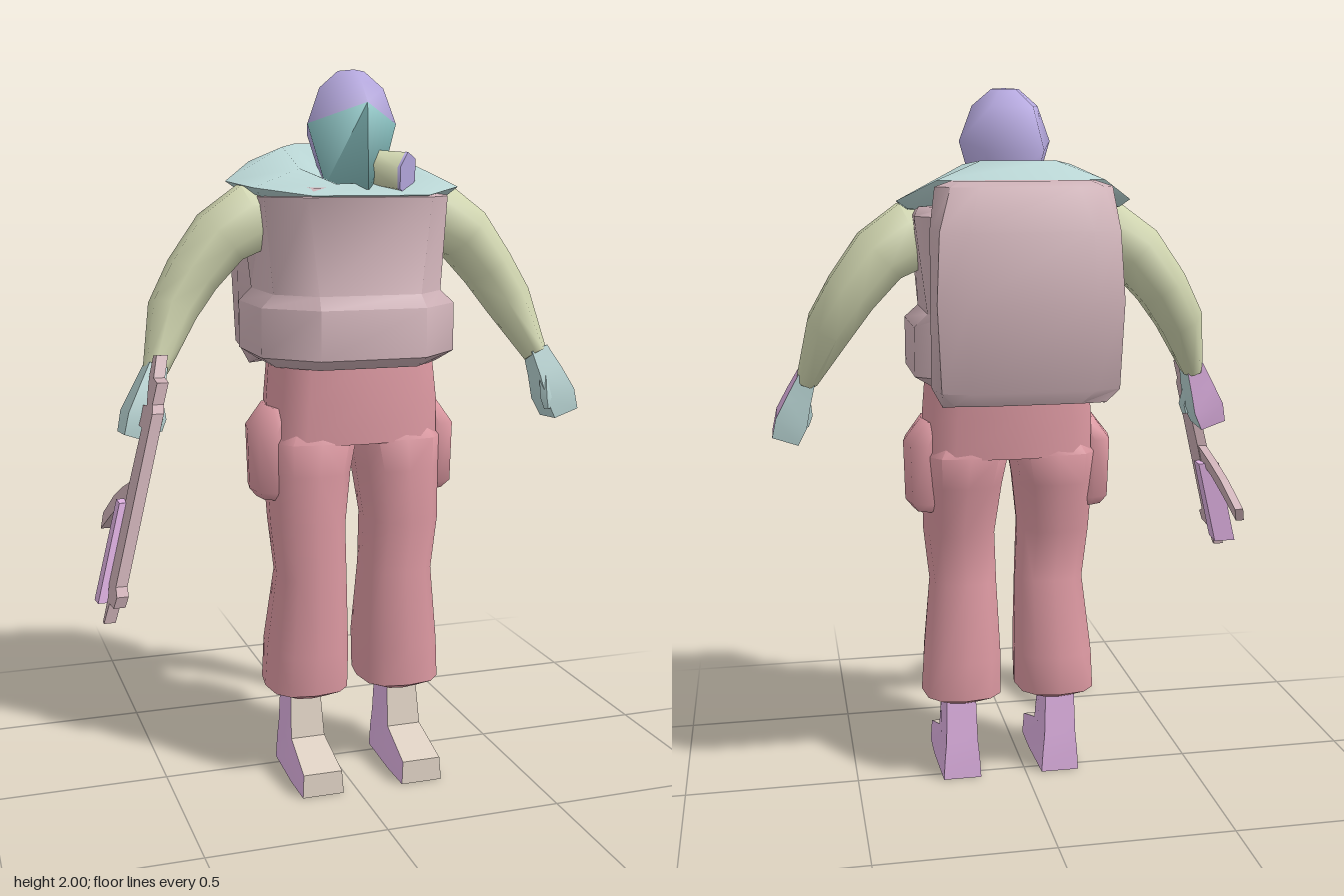
import * as THREE from 'three';
import { toCreasedNormals } from 'three/addons/utils/BufferGeometryUtils.js';

const MID = 0.045; // x of the body's plane of symmetry
const V = (x, y, z) => new THREE.Vector3(x, y, z);
const flip = p => V(2 * MID - p.x, p.y, p.z);

// Closed skin through a list of cross-sections, wound so that it faces outward
function loft(rings, crease = 0.75) {
  const n = rings[0].length, tris = [];
  for (let i = 0; i < rings.length - 1; i++) for (let j = 0; j < n; j++) {
    const k = (j + 1) % n, [a, b, c, d] = [rings[i][j], rings[i][k], rings[i + 1][k], rings[i + 1][j]];
    tris.push([a, b, c], [a, c, d]);
  }
  for (const [ring, top] of [[rings[0], false], [rings[rings.length - 1], true]]) {
    const c = ring.reduce((s, p) => s.add(p), V(0, 0, 0)).divideScalar(n);
    for (let j = 0; j < n; j++) {
      const k = (j + 1) % n;
      tris.push(top ? [c, ring[j], ring[k]] : [c, ring[k], ring[j]]);
    }
  }
  const volume = tris.reduce((s, [a, b, c]) => s + a.dot(b.clone().cross(c)), 0);
  const pts = tris.flatMap(t => (volume < 0 ? [t[0], t[2], t[1]] : t));
  const geo = new THREE.BufferGeometry().setFromPoints(pts);
  geo.computeVertexNormals();
  return toCreasedNormals(geo, crease);
}

// Mirrored ring from half of its points: [half width, z, own y]
function sym(y, half, cx = MID) {
  const right = half.map(([x, z, h]) => V(cx + x, h ?? y, z));
  const left = half.filter(p => p[0] > 0).reverse().map(([x, z, h]) => V(cx - x, h ?? y, z));
  return [...right, ...left];
}

// Rounded box-like ring between x0..x1 and z0..z1
function oval(y, x0, x1, z0, z1, power = 0.7, n = 12) {
  const soft = v => Math.sign(v) * Math.abs(v) ** power;
  return Array.from({ length: n }, (_, i) => {
    const a = (i / n) * Math.PI * 2;
    return V((x0 + x1) / 2 + (soft(Math.sin(a)) * (x1 - x0)) / 2, y, (z0 + z1) / 2 + (soft(Math.cos(a)) * (z1 - z0)) / 2);
  });
}

// Rings across a bent limb: [x, y, z, radius in plane, radius towards z]
function limb(stations, n, turn = 0) {
  const c = stations.map(s => V(s[0], s[1], s[2]));
  return stations.map((s, i) => {
    const t = c[Math.min(i + 1, c.length - 1)].clone().sub(c[Math.max(i - 1, 0)]).normalize();
    const u = t.clone().cross(V(0, 0, 1)).normalize(), v = u.clone().cross(t);
    return Array.from({ length: n }, (_, k) => {
      const a = (k / n) * Math.PI * 2 + turn;
      return c[i].clone().addScaledVector(u, Math.cos(a) * s[3]).addScaledVector(v, Math.sin(a) * s[4]);
    });
  });
}

// Give the second material to the faces whose normal passes a test
function split(geo, test) {
  const p = geo.attributes.position, tri = new THREE.Triangle(), n = V(0, 0, 0), m = V(0, 0, 0);
  for (let i = 0; i < p.count; i += 3) {
    tri.setFromAttributeAndIndices(p, i, i + 1, i + 2);
    tri.getNormal(n);
    tri.getMidpoint(m);
    geo.addGroup(i, 3, test(n, m) ? 1 : 0);
  }
  return geo;
}

export function createModel() {
  const root = new THREE.Group();
  const mat = (name, color) => Object.assign(new THREE.MeshStandardMaterial({ color }), { name });
  const vestMat = mat('dusty rose', 0xceb1b7), pantsMat = mat('red pink', 0xde9aa3);
  const sleeveMat = mat('pale olive', 0xd1d6b0), hoodMat = mat('lavender', 0xb7aae0);
  const paleMat = mat('pale teal', 0xb9d5d4), visorMat = mat('teal', 0x8fcaca);
  const orchidMat = mat('orchid', 0xe0b2e3), beigeMat = mat('beige', 0xddd0c2);
  const add = (name, geo, material, parent = root) => {
    const mesh = new THREE.Mesh(geo, material);
    mesh.name = name;
    parent.add(mesh);
    return mesh;
  };

  // Vest with a bulging waist band
  const band = [[.15, .245], [.28, .12], [.28, -.13], [.2, -.2]];
  add('vest', loft([
    sym(1.2, [[.14, .2], [.235, .1], [.235, -.1], [.15, -.18]]),
    sym(1.23, band), sym(1.365, band),
    sym(1.4, [[.145, .215], [.243, .11], [.243, -.13], [.2, -.2]]),
    sym(1.66, [[.175, .212], [.265, .1], [.275, -.13], [.22, -.21]]),
    sym(1.685, [[.14, .17], [.24, .08], [.26, -.11], [.19, -.19]]),
  ], 0.9), vestMat);

  // Collar that rises towards the back
  add('collar', loft([
    sym(0, [[.15, .19, 1.655], [.265, .09, 1.66], [.29, -.11, 1.68], [.21, -.2, 1.73]]),
    sym(0, [[.165, .216, 1.665], [.295, .1, 1.685], [.32, -.11, 1.7], [.225, -.21, 1.755]]),
    sym(0, [[.08, .15, 1.695], [.15, .05, 1.735], [.145, -.14, 1.795], [.1, -.165, 1.805]]),
    sym(0, [[.05, .1, 1.69], [.09, .03, 1.705], [.08, -.08, 1.74], [.05, -.1, 1.75]]),
  ], 1.1), paleMat);

  // Backpack
  add('backpack', loft([
    sym(1.18, [[.2, -.13, 1.2], [.22, -.25, 1.165], [.2, -.35, 1.185], [.13, -.36, 1.185]]),
    sym(1.22, [[.232, -.14], [.25, -.25], [.235, -.355], [.165, -.378]]),
    sym(1.45, [[.235, -.16], [.25, -.26], [.245, -.36], [.165, -.384]]),
    sym(1.63, [[.23, -.185], [.25, -.26], [.235, -.345], [.16, -.365]]),
    sym(1.74, [[.215, -.2], [.235, -.25], [.2, -.3], [.13, -.315]]),
    sym(1.755, [[.18, -.2], [.19, -.24], [.17, -.28], [.11, -.295]]),
  ], 0.95), vestMat);

  // Hooded head with a five-sided outline; the two front faces are the visor
  add('head', split(loft([
    sym(0, [[0, .19, 1.68], [.08, .06, 1.69], [.05, -.07, 1.7]]),
    sym(0, [[0, .178, 1.908], [.128, .05, 1.855], [.08, -.113, 1.83]]),
    sym(0, [[0, .125, 1.965], [.092, .045, 1.95], [.058, -.07, 1.945]]),
    sym(0, [[0, .065, 1.998], [.038, .04, 1.995], [.022, -.005, 1.993]]),
  ], 1.75), (n, m) => m.z > .06 && m.y < 1.89 && n.z > .3), [hoodMat, visorMat]);

  // Breathing filter on the left cheek
  const filter = new THREE.Group();
  filter.name = 'filter';
  filter.position.set(.12, 1.727, .14);
  filter.quaternion.setFromUnitVectors(V(0, 1, 0), V(.72, -.1, .68).normalize());
  root.add(filter);
  add('canister', new THREE.CylinderGeometry(.058, .055, .1, 6), sleeveMat, filter);
  add('filterCap', new THREE.CylinderGeometry(.059, .059, .008, 6), hoodMat, filter).position.y = .052;
  filter.children.forEach(m => { m.geometry = toCreasedNormals(m.geometry, 1.2); });

  // Hips
  add('hips', loft([
    oval(.985, -.2, .29, -.115, .178, .55),
    oval(1.1, -.2, .29, -.128, .186, .6),
    oval(1.22, -.19, .28, -.13, .18, .65),
  ], 0.9), pantsMat);

  for (const side of ['right', 'left']) {
    const place = rings => (side === 'left' ? rings : rings.map(r => r.map(flip)));
    const sx = side === 'left' ? 1 : -1;

    // Trouser leg with a drooping hem
    add(side + 'TrouserLeg', loft(place([
      oval(.237, .12, .25, -.04, .12), oval(.262, .067, .302, -.088, .168),
      oval(.38, .067, .294, -.1, .18), oval(.6, .074, .272, -.045, .168),
      oval(.75, .08, .288, -.06, .18), oval(.9, .062, .292, -.1, .18),
      oval(.99, .047, .292, -.114, .178, .6), oval(1.06, .06, .25, -.08, .14),
    ]), 0.85), pantsMat);

    // Thigh pocket
    add(side + 'Pocket', loft(place([
      oval(.825, .235, .32, -.045, .1, .75, 8), oval(.85, .225, .341, -.06, .125, .75, 8),
      oval(1.02, .225, .345, -.07, .13, .75, 8), oval(1.085, .215, .295, -.06, .12, .75, 8),
    ]), 1.35), pantsMat);

    // Boot, pale on the front
    const cx = MID + sx * .148;
    add(side + 'Boot', split(loft([
      sym(0, [[.06, .255], [.062, .14], [.056, -.042]], cx),
      sym(.065, [[.056, .25], [.057, .12], [.052, -.042]], cx),
      sym(.115, [[.05, .105], [.053, .04], [.047, -.04]], cx),
      sym(.28, [[.043, .075], [.049, .025], [.042, -.03]], cx),
    ], 0.9), n => n.z > .25 || n.y > .5), [orchidMat, beigeMat]);

    // Sleeve
    add(side + 'Arm', loft(place(limb([
      [.24, 1.62, -.01, .06, .055], [.315, 1.605, -.012, .1, .08], [.405, 1.55, -.015, .088, .09],
      [.485, 1.45, -.014, .077, .088], [.545, 1.355, .004, .069, .076], [.608, 1.2, .07, .033, .048],
    ], 8, Math.PI / 8)), 1.0), sleeveMat);

    // Boxy hand and thumb
    const coloured = side === 'left' ? n => n.x > .6 : n => n.z < -.6;
    add(side + 'Hand', split(loft(place(limb([
      [.607, 1.215, .07, .036, .05], [.632, 1.15, .085, .05, .066],
      [.655, 1.085, .095, .064, .08], [.674, 1.03, .1, .054, .072],
    ], 4, Math.PI / 4)), 0.6), coloured), [paleMat, orchidMat]);
    add(side + 'Thumb', loft(place(limb([
      [.618, 1.14, .115, .018, .02], [.612, 1.08, .14, .018, .018], [.618, 1.05, .14, .012, .012],
    ], 5)), 0.6), paleMat);
  }

  // Rifle hanging from the right hand: flat plates drawn in z and y, leaning outward
  const rifle = new THREE.Group();
  rifle.name = 'rifle';
  root.add(rifle);
  const plate = (name, outline, depth, material) => {
    const shape = new THREE.Shape(outline.map(p => new THREE.Vector2(...p)));
    const geo = new THREE.ExtrudeGeometry(shape, { depth, bevelEnabled: false });
    geo.translate(0, -.92, -depth / 2).rotateY(-Math.PI / 2);
    geo.applyMatrix4(new THREE.Matrix4().makeShear(0, 0, .268, 0, 0, 0)).translate(-.605, .92, 0);
    add(name, geo, material, rifle);
  };
  plate('rifleBody', [
    [.12, 1.25], [.16, 1.255], [.19, 1.2], [.245, 1.195], [.25, 1.14], [.275, 1.12], [.335, .69], [.375, .675],
    [.368, .645], [.308, .64], [.302, .585], [.285, .585], [.275, .645], [.245, .68], [.2, .92], [.185, 1.13],
    [.15, 1.17], [.13, 1.2],
  ], .03, vestMat);
  plate('rifleGrip', [[.21, 1.13], [.2, 1.07], [.12, 1.07], [.06, 1.09], [.06, 1.13], [.12, 1.12]], .03, vestMat);
  plate('rifleMagazine', [[.22, .94], [.12, .9], [.04, .86], [-.05, .79], [-.03, .75], [.06, .81], [.13, .85], [.22, .88]], .025, vestMat);
  plate('rifleForegrip', [[.17, .88], [.22, .88], [.255, .625], [.2, .62]], .065, orchidMat);
  return root;
}
